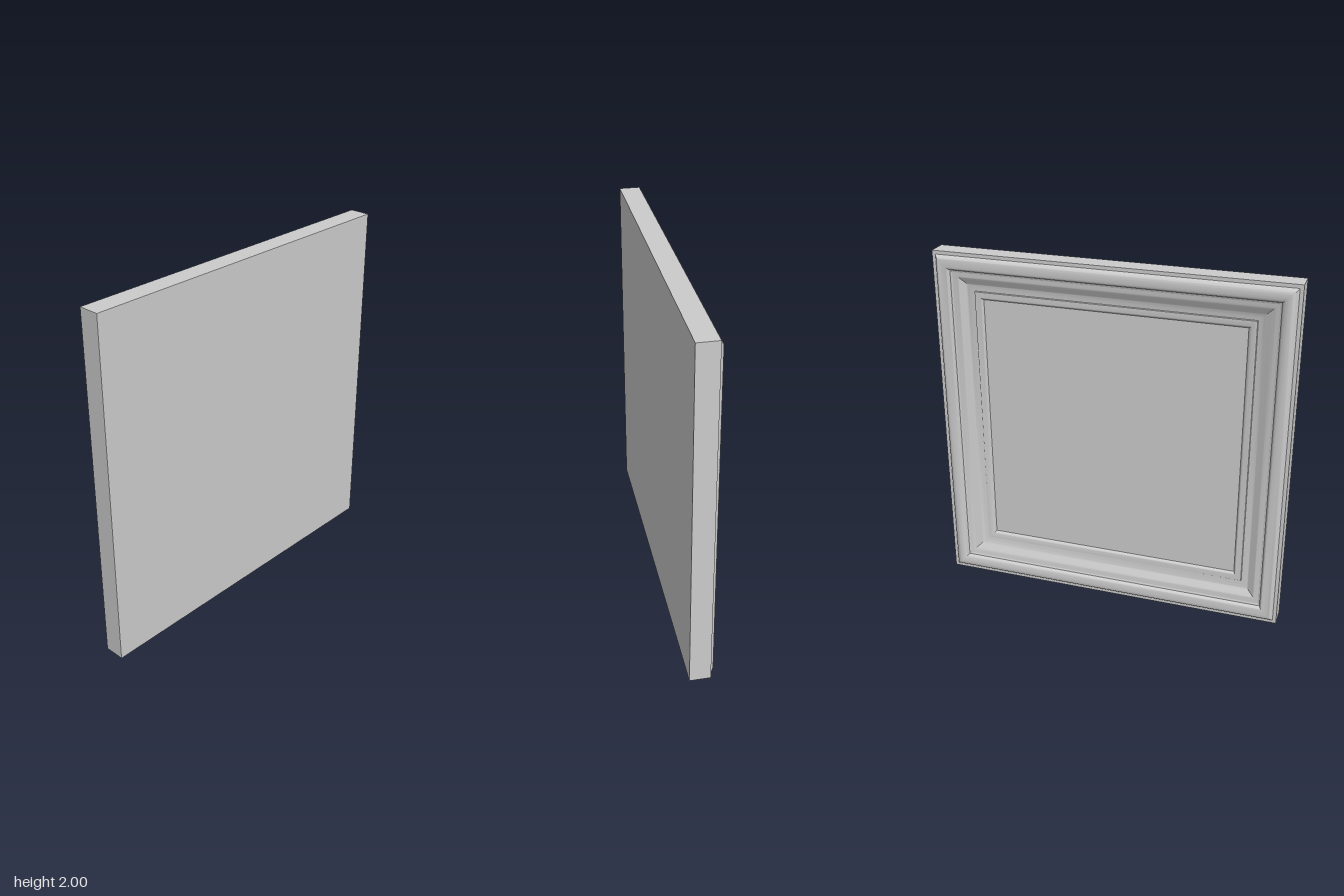
import * as THREE from 'three';
import { toCreasedNormals } from 'three/addons/utils/BufferGeometryUtils.js';

const material = new THREE.MeshStandardMaterial({ color: 0xcccccc });
const CORNERS = [[1, -1], [1, 1], [-1, 1], [-1, -1]];

// Samples a smooth curve through [inset, z] points
function smooth(points, n) {
  const curve = new THREE.SplineCurve(points.map(p => new THREE.Vector2(...p)));
  return curve.getPoints(n).map(p => [p.x, p.y]);
}

// Sweeps an [inset, z] profile round a square with mitred corners
function squareSweep(name, profile) {
  const positions = [];
  const corner = ([inset, z], k) => {
    const [x, y] = CORNERS[k % 4];
    return [x * (1 - inset), y * (1 - inset), z];
  };
  for (let k = 0; k < 4; k++) {
    for (let i = 0; i < profile.length - 1; i++) {
      const a = corner(profile[i], k), b = corner(profile[i], k + 1);
      const c = corner(profile[i + 1], k), d = corner(profile[i + 1], k + 1);
      positions.push(...a, ...c, ...b, ...b, ...c, ...d);
    }
  }
  const geometry = new THREE.BufferGeometry();
  geometry.setAttribute('position', new THREE.Float32BufferAttribute(positions, 3));
  return addMesh(name, toCreasedNormals(geometry, 0.6));
}

function addMesh(name, geometry) {
  const mesh = new THREE.Mesh(geometry, material);
  mesh.name = name;
  mesh.position.y = 1;
  return mesh;
}

export function createModel() {
  const model = new THREE.Group();
  model.name = 'framedPanel';

  // Flat front sheet
  const front = addMesh('frontSheet', new THREE.PlaneGeometry(2, 2));
  front.position.z = 0.07;
  model.add(front);

  // Straight outer edge and the ledge behind it
  model.add(squareSweep('outerEdge', [[0, 0.07], [0, -0.046], [0.02, -0.046]]));

  // Raised rounded outer moulding
  model.add(squareSweep('outerMoulding', smooth([
    [0.02, -0.046], [0.028, -0.06], [0.045, -0.069], [0.062, -0.07],
    [0.08, -0.067], [0.093, -0.06], [0.1, -0.048],
  ], 20)));

  // Narrow step and cove sloping down to the lip
  model.add(squareSweep('cove', [
    [0.1, -0.048], [0.107, -0.046],
    ...smooth([[0.109, -0.044], [0.135, -0.038], [0.163, -0.024], [0.19, -0.011], [0.22, -0.004]], 16),
  ]));

  // Inner lip dropping to the panel
  model.add(squareSweep('innerLip', [
    [0.22, -0.004], [0.222, -0.012], [0.245, -0.012],
    ...smooth([[0.245, -0.012], [0.256, -0.009], [0.263, -0.003], [0.267, 0.004]], 8),
  ]));

  // Recessed back panel
  const back = addMesh('backPanel', new THREE.PlaneGeometry(1.466, 1.466));
  back.rotation.y = Math.PI;
  back.position.z = 0.004;
  model.add(back);

  return model;
}
